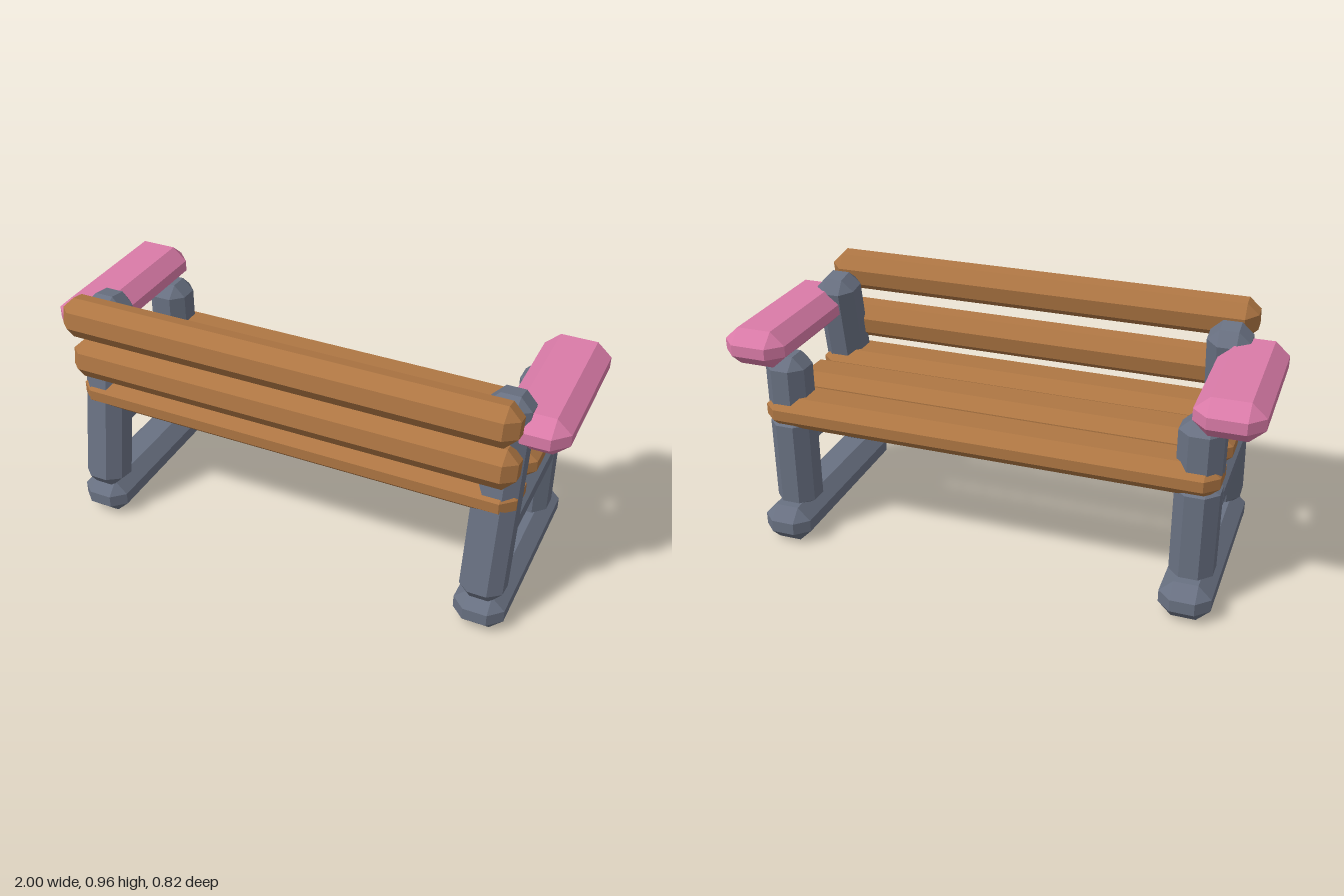
import * as THREE from 'three';
import { ConvexGeometry } from 'three/addons/geometries/ConvexGeometry.js';

// Box with all edges and corners cut off; c is the cut along x, y and z
function chamferBox(w, h, d, c) {
  const [cx, cy, cz] = c, pts = [];
  for (const sx of [-1, 1]) for (const sy of [-1, 1]) for (const sz of [-1, 1]) {
    const x = w / 2, y = h / 2, z = d / 2;
    pts.push(
      new THREE.Vector3(sx * x, sy * (y - cy), sz * (z - cz)),
      new THREE.Vector3(sx * (x - cx), sy * y, sz * (z - cz)),
      new THREE.Vector3(sx * (x - cx), sy * (y - cy), sz * z));
  }
  return new ConvexGeometry(pts);
}

export function createModel() {
  const metal = new THREE.MeshStandardMaterial({ name: 'slate grey', color: 0x697182 });
  const wood = new THREE.MeshStandardMaterial({ name: 'warm wood', color: 0xae7643 });
  const pink = new THREE.MeshStandardMaterial({ name: 'pink', color: 0xda7ba8 });
  const bench = new THREE.Group();
  bench.name = 'bench';
  const lean = -0.175;

  function beam(parent, name, mat, size, pos, cut, tilt = 0) {
    const mesh = new THREE.Mesh(chamferBox(...size, cut), mat);
    mesh.name = name;
    mesh.position.set(...pos);
    mesh.rotation.x = tilt;
    parent.add(mesh);
  }

  // End frames with armrests, mirrored left and right
  for (const [side, s] of [['left', 1], ['right', -1]]) {
    const frame = new THREE.Group();
    frame.name = side + 'Frame';
    const x = s * 0.785, c = [0.045, 0.045, 0.045];
    beam(frame, 'foot', metal, [0.19, 0.145, 0.8], [x, 0.0725, -0.01], [0.05, 0.049, 0.048]);
    beam(frame, 'lowerPost', metal, [0.16, 0.38, 0.16], [x, 0.31, -0.25], [0.045, 0.025, 0.045]);
    beam(frame, 'upperPost', metal, [0.16, 0.26, 0.16], [x, 0.62, -0.25], c);
    beam(frame, 'leaningPost', metal, [0.16, 0.8, 0.16], [x, 0.513, 0.245], c, lean);
    beam(frame, 'seatRail', metal, [0.16, 0.142, 0.53], [x, 0.419, 0.015], c);
    beam(frame, 'armrest', pink, [0.245, 0.143, 0.64], [s * 0.8775, 0.7875, -0.06], [0.055, 0.05, 0.056]);
    bench.add(frame);
  }

  // Seat slats
  for (const z of [0.23, -0.01, -0.25])
    beam(bench, 'seatSlat', wood, [1.73, 0.125, 0.2], [0, 0.53, z], [0.05, 0.042, 0.046]);

  // Tilted back slats
  for (const [y, z] of [[0.692, 0.302], [0.883, 0.335]])
    beam(bench, 'backSlat', wood, [1.73, 0.15, 0.14], [0, y, z], [0.045, 0.044, 0.045], lean);

  return bench;
}
